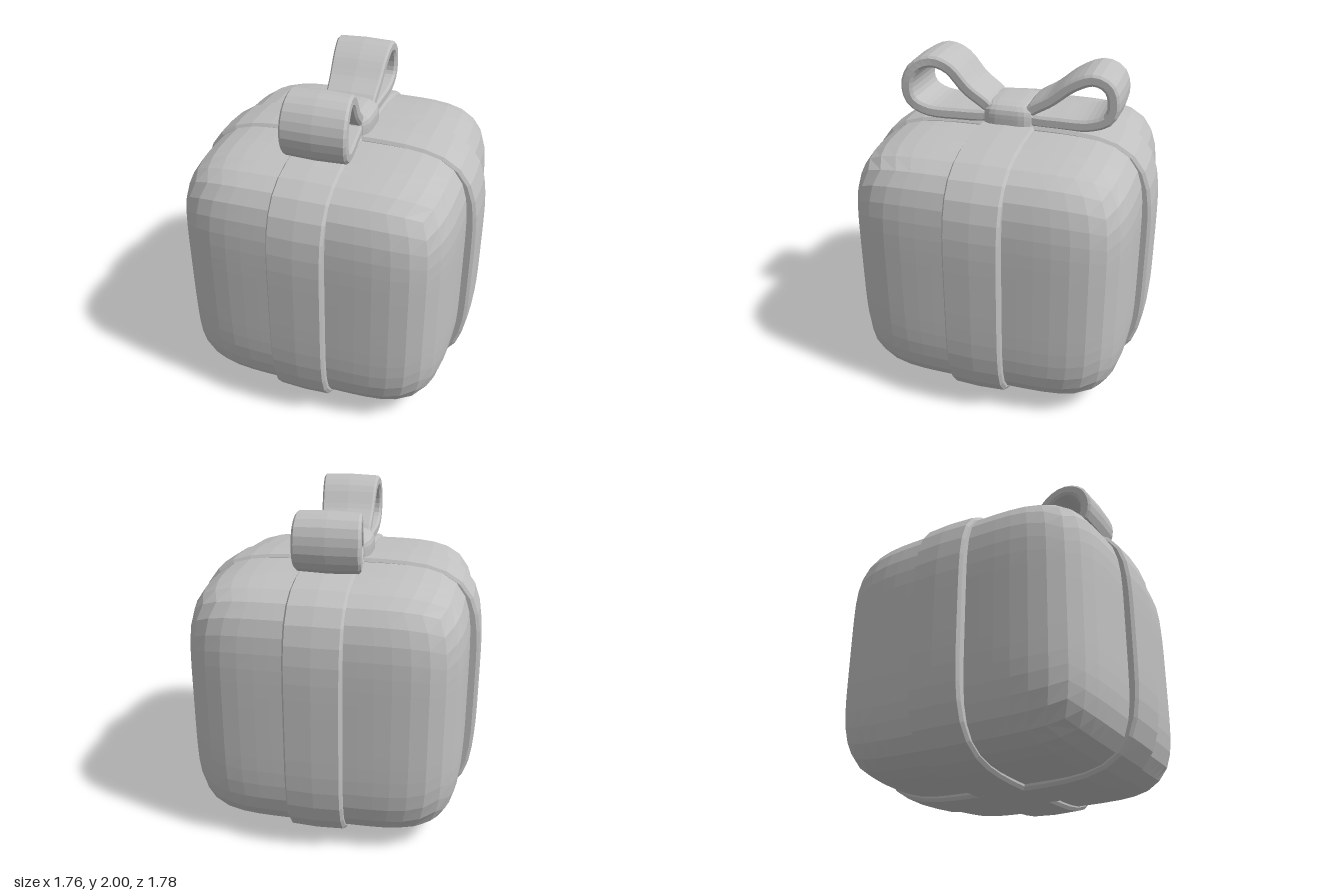
import * as THREE from 'three';

const grey = new THREE.MeshStandardMaterial({ color: 0xc0c0c0, flatShading: true });
grey.name = 'clay grey';

function part(name, geometry) {
  const mesh = new THREE.Mesh(geometry, grey);
  mesh.name = name;
  return mesh;
}

// Pillow-like box: a subdivided cube pushed out to a superellipsoid
function softBox(rx, ry, rz, power, segments) {
  const geo = new THREE.BoxGeometry(2, 2, 2, segments, segments, segments);
  const pos = geo.attributes.position;
  for (let i = 0; i < pos.count; i++) {
    const c = [pos.getX(i), pos.getY(i), pos.getZ(i)].map((v) => Math.tan(v * Math.PI / 4));
    const len = c.reduce((s, v) => s + Math.abs(v) ** power, 0) ** (1 / power);
    pos.setXYZ(i, c[0] / len * rx, c[1] / len * ry, c[2] / len * rz);
  }
  geo.computeVertexNormals();
  return geo;
}

// Sweeps a closed section [across, outward] along a closed counterclockwise path in the xy plane;
// shape(point) gives the half width and the sideways shift there
function ribbon(path, section, shape) {
  const n = path.length, m = section.length;
  const verts = [], index = [];
  path.forEach((p, i) => {
    const a = path[(i + n - 1) % n], b = path[(i + 1) % n];
    const normal = new THREE.Vector2(b.y - a.y, a.x - b.x).normalize();
    const { width, shift } = shape(p);
    section.forEach(([across, out], j) => {
      verts.push(p.x + normal.x * out, p.y + normal.y * out, across * width + shift);
      const i2 = (i + 1) % n, j2 = (j + 1) % m;
      index.push(i * m + j, i * m + j2, i2 * m + j2, i * m + j, i2 * m + j2, i2 * m + j);
    });
  });
  const geo = new THREE.BufferGeometry();
  geo.setAttribute('position', new THREE.Float32BufferAttribute(verts, 3));
  geo.setIndex(index);
  geo.computeVertexNormals();
  return geo;
}

// Rounded-square path for the bands round the box
function bandPath(rx, ry, cy, power, count) {
  return Array.from({ length: count }, (_, i) => {
    const t = (i / count) * Math.PI * 2;
    const c = Math.cos(t), s = Math.sin(t);
    const len = (Math.abs(c) ** power + Math.abs(s) ** power) ** (1 / power);
    return new THREE.Vector2(c / len * rx, cy + s / len * ry);
  });
}

// Bow loop, from the knot out along the bottom and back over the top
function bowLoop(points) {
  const curve = new THREE.CatmullRomCurve3(points.map(([x, y]) => new THREE.Vector3(x, y, 0)), true);
  const path = curve.getSpacedPoints(32).slice(0, -1);
  const section = [[-0.93, -0.036], [0.93, -0.036], [1, -0.02], [1, 0.02], [0.93, 0.034],
    [0, 0.04], [-0.93, 0.034], [-1, 0.02], [-1, -0.02]];
  return ribbon(path, section, (p) => {
    const t = THREE.MathUtils.clamp((p.x - 0.12) / 0.5, 0, 1);
    return { width: 0.155 + 0.035 * t, shift: -0.035 * t };
  });
}

export function createModel() {
  const group = new THREE.Group();
  group.name = 'giftBox';

  // Box
  const box = part('box', softBox(0.815, 0.775, 0.83, 5.2, 16));
  box.position.y = 0.815;
  group.add(box);

  // Two crossing bands with softened edges
  const bandSection = [[-1, -0.11], [1, -0.11], [1, -0.025], [0.92, -0.006], [0, 0],
    [-0.92, -0.006], [-1, -0.025]];
  const flat = () => ({ width: 0.165, shift: 0 });
  group.add(part('sideBand', ribbon(bandPath(0.88, 0.808, 0.81, 4.4, 56), bandSection, flat)));
  const frontBand = part('frontBand', ribbon(bandPath(0.89, 0.81, 0.81, 4.4, 56), bandSection, flat));
  frontBand.rotation.y = -Math.PI / 2;
  group.add(frontBand);

  // Bow loops
  const frontLoop = part('frontLoop', bowLoop([[0.12, 1.655], [0.32, 1.645], [0.5, 1.66], [0.59, 1.715],
    [0.61, 1.82], [0.56, 1.92], [0.46, 1.96], [0.36, 1.925], [0.25, 1.8], [0.12, 1.69]]));
  frontLoop.rotation.y = -Math.PI / 2;
  const backLoop = part('backLoop', bowLoop([[0.12, 1.655], [0.32, 1.64], [0.5, 1.65], [0.6, 1.7],
    [0.62, 1.79], [0.59, 1.88], [0.5, 1.92], [0.38, 1.875], [0.25, 1.775], [0.12, 1.69]]));
  backLoop.rotation.y = Math.PI / 2;
  group.add(frontLoop, backLoop);

  // Knot
  const knot = part('knot', softBox(0.195, 0.115, 0.17, 3.8, 8));
  knot.position.y = 1.63;
  group.add(knot);

  return group;
}
